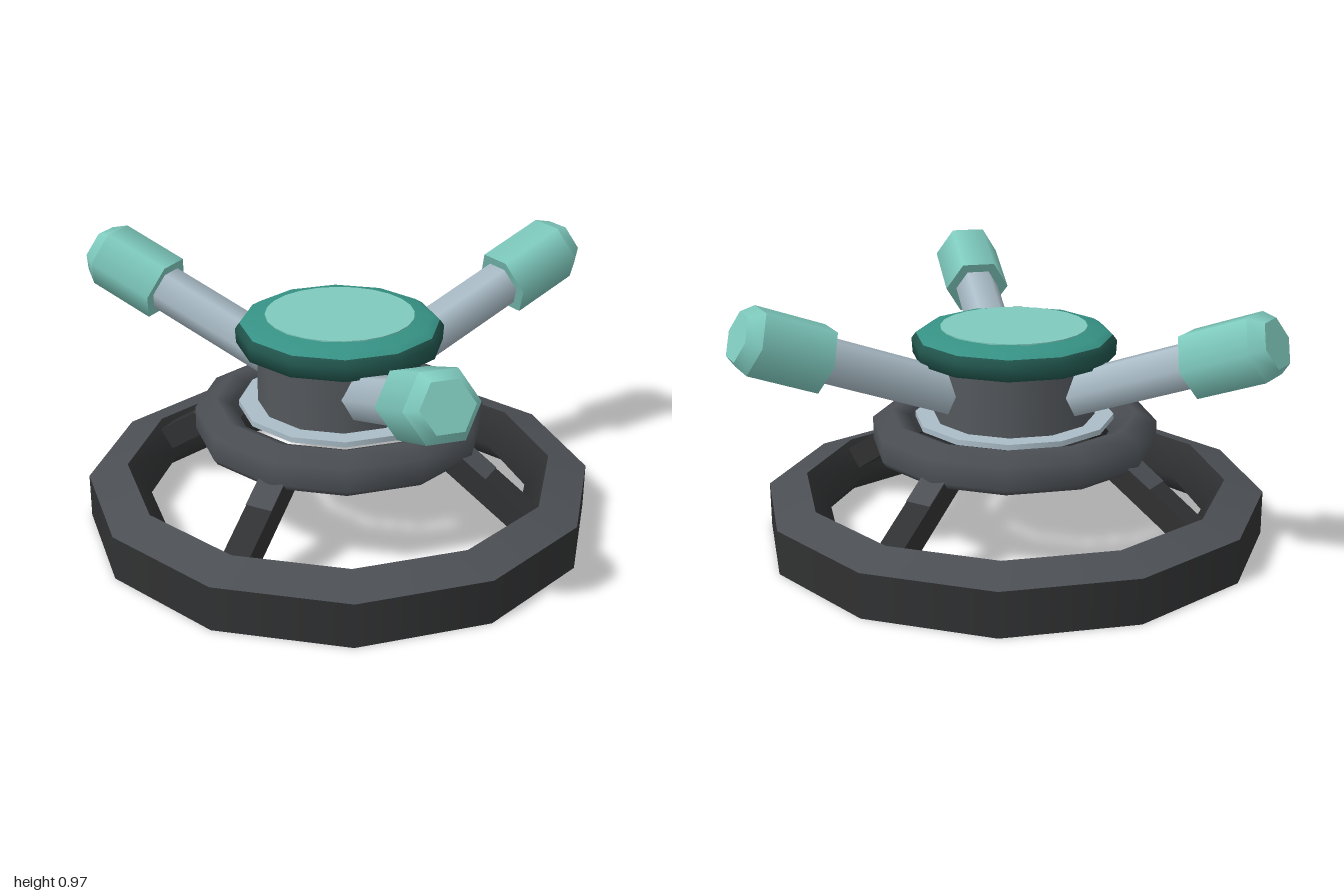
import * as THREE from 'three';

const mat = (name, color) => {
  const m = new THREE.MeshStandardMaterial({ color });
  m.name = name;
  return m;
};

export function createModel() {
  const darkGrey = mat('dark grey', 0x4b4f54);
  const charcoal = mat('charcoal', 0x303132);
  const hubGrey = mat('hub grey', 0x54585c);
  const paleSteel = mat('pale steel', 0xaabcc7);
  const lightTeal = mat('light teal', 0x7ec9bd);
  const midTeal = mat('mid teal', 0x369184);
  const darkTeal = mat('dark teal', 0x21554d);

  const root = new THREE.Group();
  root.name = 'valve';
  const body = new THREE.Group();
  body.name = 'body';
  body.position.x = 0.065;
  root.add(body);

  const add = (parent, name, geometry, material, y = 0) => {
    const mesh = new THREE.Mesh(geometry, material);
    mesh.name = name;
    mesh.position.y = y;
    parent.add(mesh);
    return mesh;
  };
  // Twelve-sided turned part from [radius, height] pairs
  const turned = (points) =>
    new THREE.LatheGeometry(points.map(([r, y]) => new THREE.Vector2(r, y)), 12);

  // Five-sided base ring: wall, sloping top, inner faces and underside
  add(body, 'baseRingWall', turned([[0.935, 0], [0.935, 0.165]]), charcoal);
  add(body, 'baseRingTop', turned([[0.935, 0.165], [0.79, 0.21]]), darkGrey);
  add(body, 'baseRingInside', turned([[0.79, 0.21], [0.706, 0.09], [0.785, 0]]), charcoal);
  add(body, 'baseRingUnderside', turned([[0.785, 0], [0.935, 0]]), charcoal);

  // Raised ring
  add(body, 'upperRing', turned([
    [0.39, 0.35], [0.45, 0.33], [0.515, 0.333], [0.53, 0.355],
    [0.53, 0.44], [0.455, 0.475], [0.395, 0.45], [0.39, 0.35],
  ]), darkGrey);

  // Four sloping spokes between the rings, each with a lighter upper pad
  const inner = new THREE.Vector2(0.42, 0.367);
  const outer = new THREE.Vector2(0.74, 0.153);
  const run = outer.clone().sub(inner);
  for (let i = 0; i < 4; i++) {
    const pivot = new THREE.Group();
    pivot.name = 'spoke';
    pivot.rotation.y = i * Math.PI / 2;
    const bar = add(pivot, 'spokeBar', new THREE.BoxGeometry(run.length(), 0.088, 0.1), charcoal);
    bar.position.set((inner.x + outer.x) / 2, (inner.y + outer.y) / 2, 0);
    bar.rotation.z = run.angle();
    const pad = add(bar, 'spokePad', new THREE.BoxGeometry(0.13, 0.006, 0.1), darkGrey, 0.045);
    pad.position.x = -0.065;
    body.add(pivot);
  }

  // Floor plate and hub
  add(body, 'floorPlate', new THREE.CylinderGeometry(0.37, 0.37, 0.02, 12), paleSteel, 0.455);
  add(body, 'hub', new THREE.CylinderGeometry(0.3, 0.3, 0.25, 12), hubGrey, 0.565);

  // Cap with dark side, bevelled shoulder and a light top plate
  add(body, 'capSide', turned([
    [0, 0.68], [0.32, 0.68], [0.375, 0.695], [0.378, 0.748], [0.362, 0.77],
  ]), darkTeal);
  add(body, 'capShoulder', turned([[0.362, 0.77], [0.335, 0.787], [0.265, 0.8]]), midTeal);
  add(body, 'capTop', new THREE.CylinderGeometry(0.27, 0.27, 0.008, 24), lightTeal, 0.798);

  // Three raised arms with six-sided grips
  const tilt = THREE.MathUtils.degToRad(21.3);
  for (const degrees of [180, 60, -45]) {
    const pivot = new THREE.Group();
    pivot.name = 'arm';
    pivot.position.y = 0.481;
    pivot.rotation.y = THREE.MathUtils.degToRad(degrees);
    const arm = new THREE.Group();
    arm.name = 'tiltedArm';
    arm.rotation.z = tilt - Math.PI / 2;
    add(arm, 'armRod', new THREE.CylinderGeometry(0.087, 0.087, 0.82, 6), paleSteel, 0.41);
    add(arm, 'grip', new THREE.CylinderGeometry(0.128, 0.128, 0.265, 6), lightTeal, 0.93);
    add(arm, 'gripTip', new THREE.CylinderGeometry(0.092, 0.128, 0.05, 6), lightTeal, 1.0875);
    pivot.add(arm);
    body.add(pivot);
  }
  return root;
}
